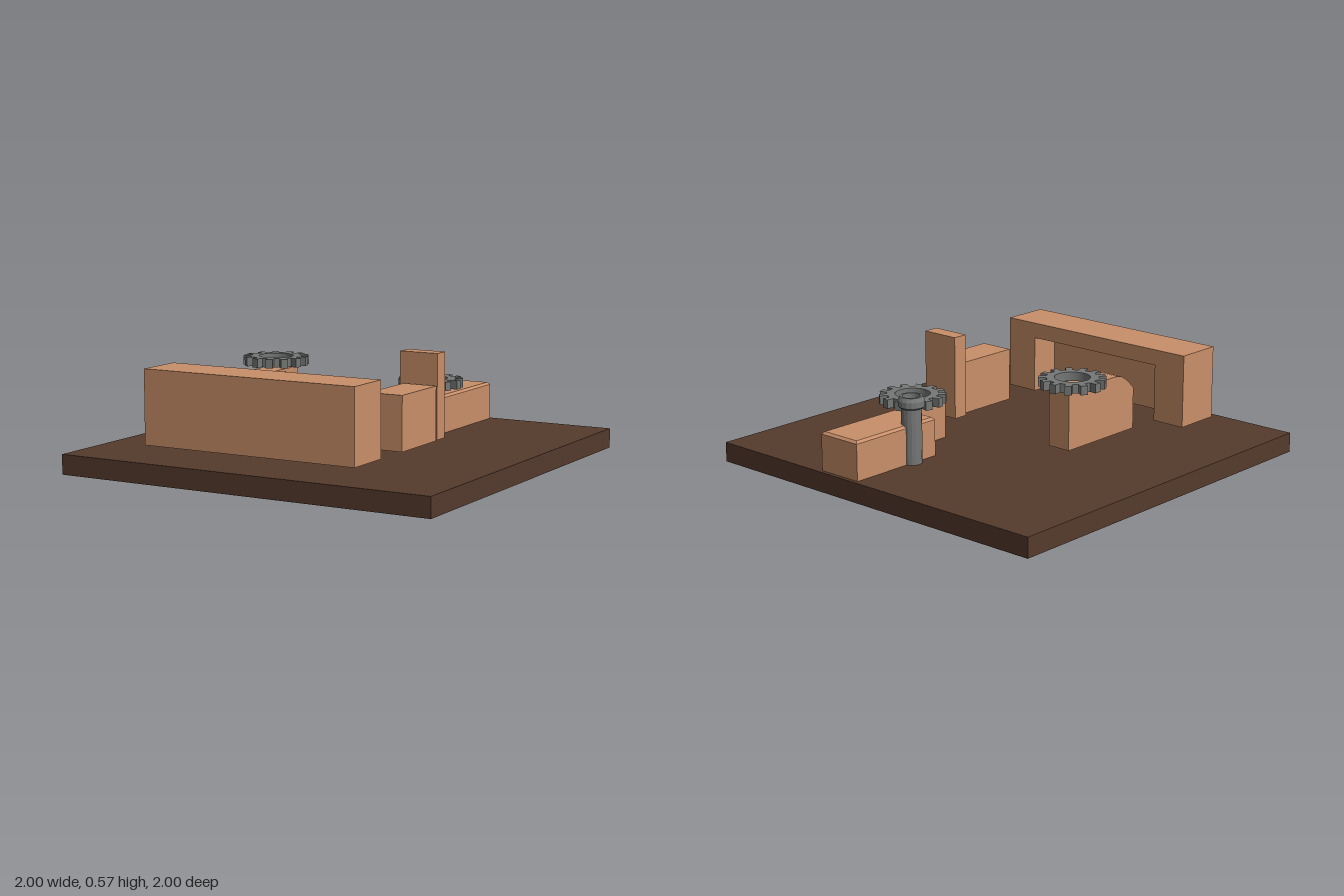
import * as THREE from 'three';

const baseBrown = new THREE.MeshStandardMaterial({ color: 0x553a2c });
const tan = new THREE.MeshStandardMaterial({ color: 0xc98f69 });
const steel = new THREE.MeshStandardMaterial({ color: 0x757876 });

export function createModel() {
  const model = new THREE.Group();

  function add(name, geometry, material, parent = model) {
    const mesh = new THREE.Mesh(geometry, material);
    mesh.name = name;
    parent.add(mesh);
    return mesh;
  }

  // Box given by its two extreme corners
  function block(name, [x0, y0, z0], [x1, y1, z1], material = tan, parent = model) {
    const g = new THREE.BoxGeometry(x1 - x0, y1 - y0, z1 - z0);
    g.translate((x0 + x1) / 2, (y0 + y1) / 2, (z0 + z1) / 2);
    return add(name, g, material, parent);
  }

  const polygon = (pts) => new THREE.Shape(pts.map(([x, y]) => new THREE.Vector2(x, y)));

  block('basePlate', [-1, 0, -1], [1, 0.1, 1], baseBrown);

  // Long front bridge with a recess open to the rear
  const bridge = new THREE.Group();
  bridge.name = 'frontBridge';
  model.add(bridge);
  block('bridgePanel', [-0.455, 0.15, 0.74], [0.345, 0.44, 0.825], tan, bridge);
  block('bridgeLintel', [-0.455, 0.44, 0.58], [0.345, 0.52, 0.825], tan, bridge);
  block('bridgeLegRight', [-0.635, 0.15, 0.58], [-0.455, 0.52, 0.825], tan, bridge);
  block('bridgeLegLeft', [0.345, 0.15, 0.58], [0.52, 0.52, 0.825], tan, bridge);

  // Block and tall post on the left side
  block('sideBlock', [0.34, 0.15, 0.03], [0.52, 0.42, 0.375]);
  block('tallPost', [0.31, 0.15, -0.07], [0.515, 0.575, 0.01]);

  // Gear stand with a rounded front shoulder; its inner half has a side pocket
  const stand = new THREE.Group();
  stand.name = 'gearStand';
  model.add(stand);
  const profile = [[-0.41, 0.15], [0.085, 0.15], [0.085, 0.445], [-0.28, 0.445],
    [-0.315, 0.437], [-0.35, 0.415], [-0.385, 0.385], [-0.41, 0.36]];
  function standSlab(name, x, width, pocket) {
    const shape = polygon(profile);
    if (pocket) shape.holes.push(new THREE.Path(
      [[-0.17, 0.17], [-0.17, 0.43], [-0.03, 0.43], [-0.03, 0.17]].map(([a, b]) => new THREE.Vector2(a, b))));
    const g = new THREE.ExtrudeGeometry(shape, { depth: width, bevelEnabled: false });
    g.rotateY(Math.PI / 2);
    g.translate(x, 0, 0);
    add(name, g, tan, stand);
  }
  standSlab('standOuter', -0.455, 0.065, false);
  standSlab('standInner', -0.39, 0.06, true);

  // L-shaped rear block with softened edges
  const bevel = 0.012;
  const rear = new THREE.ExtrudeGeometry(
    polygon([[0.08, 0.98], [0.08, 0.455], [0.245, 0.455], [0.245, 0.21], [0.32, 0.21], [0.32, 0.98]]),
    { depth: 0.195 - bevel, bevelSize: bevel, bevelThickness: bevel, bevelOffset: -bevel, bevelSegments: 1 });
  rear.rotateX(-Math.PI / 2);
  rear.translate(0, 0.1, 0);
  add('rearBlock', rear, tan);

  // Spur gear lying flat, with an open centre
  function gear(name, x, y, z, phase) {
    const teeth = 13, step = (Math.PI * 2) / teeth, pts = [];
    for (let i = 0; i < teeth; i++) {
      for (const [offset, r] of [[-0.27, 0.128], [-0.22, 0.165], [0.22, 0.165], [0.27, 0.128]]) {
        const a = phase + (i + offset) * step;
        pts.push([r * Math.cos(a), r * Math.sin(a)]);
      }
    }
    const shape = polygon(pts);
    shape.holes.push(new THREE.Path().absarc(0, 0, 0.087, 0, Math.PI * 2, true));
    const g = new THREE.ExtrudeGeometry(shape, { depth: 0.045, bevelEnabled: false, curveSegments: 24 });
    g.rotateX(-Math.PI / 2);
    add(name, g, steel).position.set(x, y, z);
  }
  gear('standGear', -0.42, 0.455, -0.02, 1.66);
  gear('rearGear', 0.245, 0.335, -0.44, 1.41);

  // Hollow pipe with a collar around its mouth
  const pipe = new THREE.LatheGeometry(
    [[0.05, 0.1], [0.05, 0.375], [0.065, 0.385], [0.065, 0.415], [0.055, 0.435],
      [0.044, 0.435], [0.042, 0.3], [0, 0.3]].map(([r, y]) => new THREE.Vector2(r, y)), 16);
  pipe.translate(0.09, 0, -0.605);
  const flatPipe = pipe.toNonIndexed();
  flatPipe.computeVertexNormals();
  add('pipe', flatPipe, steel);

  return model;
}
